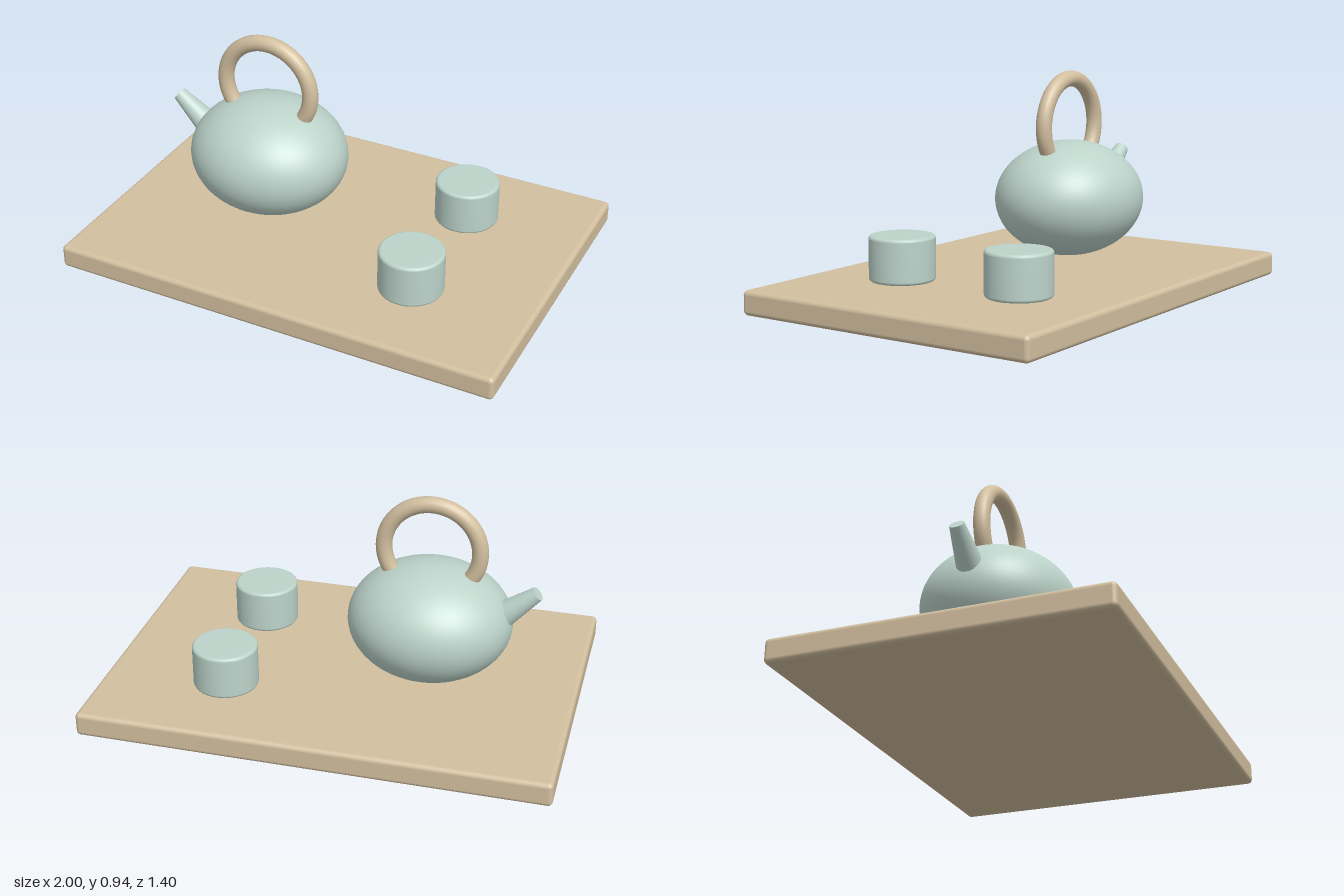
import * as THREE from 'three';
import { RoundedBoxGeometry } from 'three/addons/geometries/RoundedBoxGeometry.js';

const wood = new THREE.MeshStandardMaterial({ color: 0xd2bf9f });
const glaze = new THREE.MeshStandardMaterial({ color: 0xbcd3ca });

const TRAY_TOP = 0.105;
const POT_X = -0.354;

function addPart(parent, name, geometry, material, x, y, z) {
  const mesh = new THREE.Mesh(geometry, material);
  mesh.name = name;
  mesh.position.set(x, y, z);
  parent.add(mesh);
  return mesh;
}

// Solid cup with softly rounded rims
function cupGeometry(radius, height, bevel) {
  const points = [new THREE.Vector2(0, 0)];
  for (const [cy, start] of [[bevel, -Math.PI / 2], [height - bevel, 0]]) {
    for (let i = 0; i <= 4; i++) {
      const a = start + (i / 4) * (Math.PI / 2);
      points.push(new THREE.Vector2(radius - bevel + bevel * Math.cos(a), cy + bevel * Math.sin(a)));
    }
  }
  points.push(new THREE.Vector2(0, height));
  return new THREE.LatheGeometry(points, 48);
}

export function createModel() {
  const model = new THREE.Group();
  model.name = 'teaSet';

  // Serving tray
  addPart(model, 'tray', new RoundedBoxGeometry(2, TRAY_TOP, 1.4, 4, 0.02), wood, 0, TRAY_TOP / 2, 0);

  // Teapot body: a squashed sphere
  const teapot = new THREE.Group();
  teapot.name = 'teapot';
  teapot.position.x = POT_X;
  model.add(teapot);
  const body = new THREE.SphereGeometry(1, 48, 32).scale(0.353, 0.257, 0.321);
  addPart(teapot, 'teapotBody', body, glaze, 0, 0.379, 0);

  // Tapered spout, leaning up towards -x, its tip at the far end
  const spoutLength = 0.25;
  const lean = THREE.MathUtils.degToRad(50);
  const spoutGeometry = new THREE.CylinderGeometry(0.031, 0.066, spoutLength, 32)
    .translate(0, -spoutLength / 2, 0);
  const spout = addPart(teapot, 'spout', spoutGeometry, glaze, -0.452, 0.558, 0);
  spout.rotation.z = lean;

  // Hoop handle, its ends sunk into the body
  const dip = Math.PI * 0.22;
  const hoop = new THREE.TorusGeometry(0.205, 0.035, 20, 64, Math.PI + 2 * dip).rotateZ(-dip);
  addPart(teapot, 'handle', hoop, wood, 0, 0.704, 0);

  // Pair of cups
  for (const side of [-1, 1]) {
    addPart(model, side > 0 ? 'frontCup' : 'backCup', cupGeometry(0.14, 0.192, 0.014), glaze,
      0.469, TRAY_TOP, side * 0.295);
  }

  return model;
}
